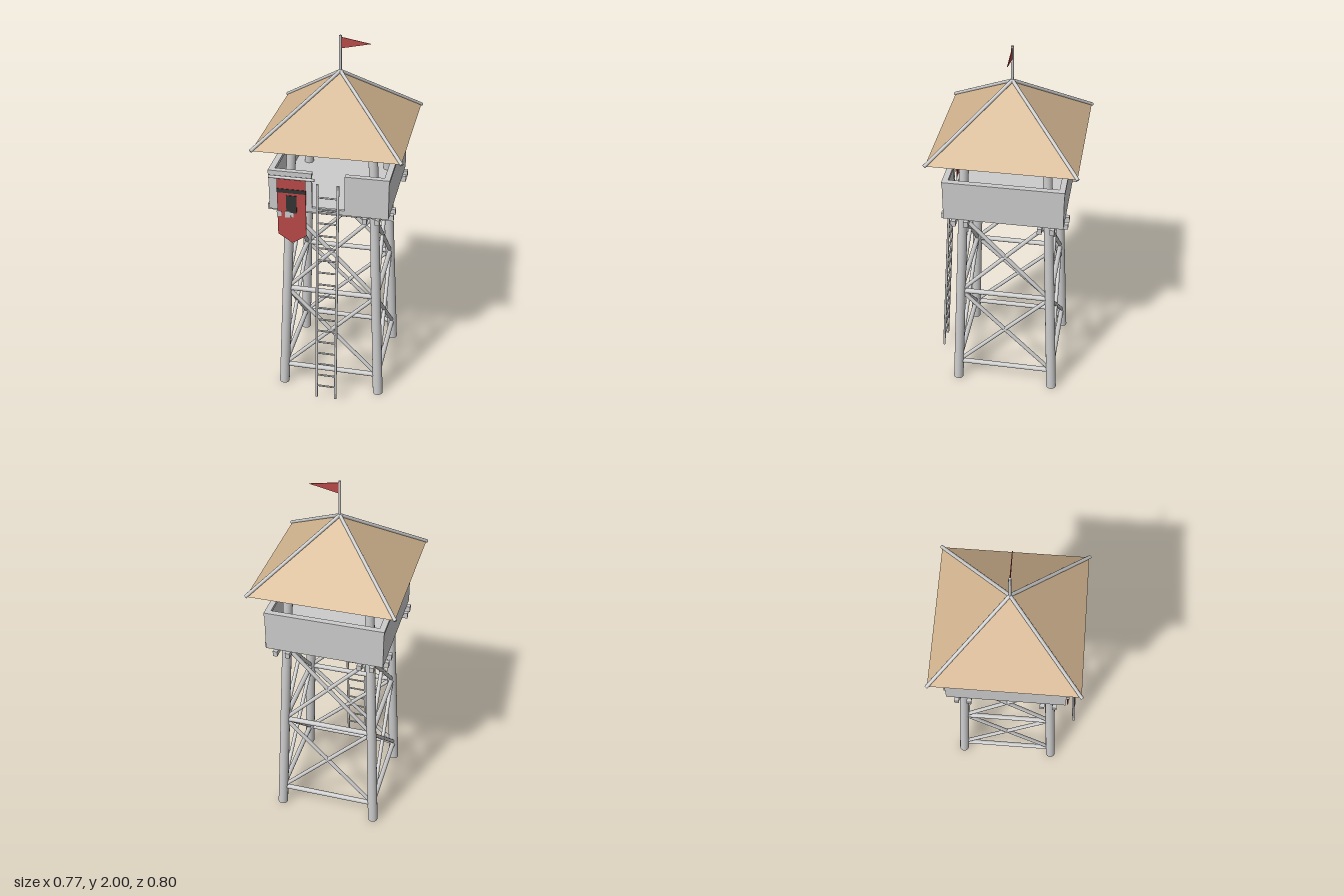
import * as THREE from 'three';

const mat = (color, side = THREE.FrontSide) => new THREE.MeshStandardMaterial({ color, side });
const grey = mat(0xcccccc);
const red = mat(0xb84a48, THREE.DoubleSide);
const tan = mat(0xd2b48f, THREE.DoubleSide);
tan.flatShading = true;
const dark = mat(0x333333);
const V = (x, y, z) => new THREE.Vector3(x, y, z);

export function createModel() {
  const model = new THREE.Group();
  const tower = new THREE.Group();
  tower.name = 'tower';
  tower.position.z = -0.015;
  model.add(tower);

  const add = (name, geometry, material, parent = tower) => {
    const mesh = new THREE.Mesh(geometry, material);
    mesh.name = name;
    parent.add(mesh);
    return mesh;
  };
  const box = (name, w, h, d, x, y, z, material = grey, parent = tower) => {
    const mesh = add(name, new THREE.BoxGeometry(w, h, d), material, parent);
    mesh.position.set(x, y, z);
    return mesh;
  };
  // Round pole between two points
  const pole = (name, a, b, r0, r1 = r0, parent = tower, sides = 12) => {
    const mesh = add(name, new THREE.CylinderGeometry(r1, r0, a.distanceTo(b), sides), grey, parent);
    mesh.position.copy(a).add(b).multiplyScalar(0.5);
    mesh.quaternion.setFromUnitVectors(V(0, 1, 0), b.clone().sub(a).normalize());
    return mesh;
  };

  // Leaning legs
  const spread = (y) => 0.272 - 0.042 * y;
  const legTop = 1.53;
  for (const sx of [-1, 1]) for (const sz of [-1, 1]) {
    const b = spread(0), t = spread(legTop);
    pole('leg', V(sx * b, 0, sz * b), V(sx * t, legTop, sz * t), 0.028, 0.024, tower, 16);
  }

  // Horizontal and crossed braces on each of the four sides
  const levels = [0.12, 0.63, 1.115];
  for (let i = 0; i < 4; i++) {
    const side = new THREE.Group();
    side.name = 'braceSide';
    side.rotation.y = i * Math.PI / 2;
    tower.add(side);
    const at = (s, y) => V(s * spread(y), y, spread(y));
    for (const y of levels) pole('horizontalBrace', at(-1, y), at(1, y), 0.014, 0.014, side);
    for (let k = 0; k < 2; k++) for (const s of [-1, 1]) {
      pole('crossBrace', at(s, levels[k]), at(-s, levels[k + 1]), 0.011, 0.011, side);
    }
  }

  // Platform beams on both sides of the legs, and the floor
  for (const s of [-1, 1]) for (const p of [0.19, 0.255]) {
    box('beamAcross', 0.66, 0.032, 0.024, 0, 1.14, s * p);
    box('beamLengthwise', 0.024, 0.03, 0.66, s * p, 1.14, 0);
  }
  box('floor', 0.61, 0.02, 0.61, 0, 1.165, 0);

  // Parapet with a ladder opening at the front
  const H = 0.31, wallT = 0.014, wallY = 1.257, wallH = 0.205;
  const railY = 1.367, gap = 0.085, part = H - gap;
  for (const s of [-1, 1]) {
    box('sideWall', wallT, wallH, 2 * H, s * (H - wallT / 2), wallY, 0);
    box('sideRail', 0.03, 0.018, 2 * H + 0.004, s * (H - 0.013), railY, 0);
    box('frontWall', part, wallH, wallT, s * (gap + part / 2), wallY, H - wallT / 2);
    box('frontRail', part, 0.018, 0.03, s * (gap + part / 2), railY, H - 0.013);
  }
  box('doorSill', 2 * gap, 0.026, wallT, 0, 1.168, H - wallT / 2);
  box('backWall', 2 * H, wallH, wallT, 0, wallY, -H + wallT / 2);
  box('backRail', 2 * H, 0.018, 0.03, 0, railY, -H + 0.013);

  // Pyramid roof with corner poles
  const R = 0.375, eave = 1.505, apex = 1.81;
  const roof = add('roof', new THREE.ConeGeometry(R * Math.SQRT2, apex - eave, 4, 1, true), tan);
  roof.rotation.y = Math.PI / 4;
  roof.position.y = (eave + apex) / 2;
  for (const sx of [-1, 1]) for (const sz of [-1, 1]) {
    pole('ridgePole', V(sx * 0.378, eave, sz * 0.378), V(0, apex + 0.004, 0), 0.009);
  }

  // Pennant
  pole('flagPole', V(0, 1.78, 0), V(0, 2, 0), 0.007);
  const pennant = new THREE.Shape([[0, 1.992], [0, 1.932], [0.155, 1.965]].map(([x, y]) => new THREE.Vector2(x, y)));
  add('pennant', new THREE.ExtrudeGeometry(pennant, { depth: 0.004, bevelEnabled: false }), red).position.z = -0.002;

  // Hanging banner
  const banner = new THREE.Group();
  banner.name = 'banner';
  banner.position.set(-0.188, 0, 0.308);
  model.add(banner);
  const cloth = new THREE.Shape([[-0.075, 1.35], [-0.075, 1.02], [0, 0.97], [0.075, 1.02], [0.075, 1.35]]
    .map(([x, y]) => new THREE.Vector2(x, y)));
  add('bannerCloth', new THREE.ExtrudeGeometry(cloth, { depth: 0.006, bevelEnabled: false }), red, banner);
  box('bannerStripe', 0.15, 0.022, 0.003, 0, 1.275, 0.007, dark, banner);
  box('bannerPatch', 0.055, 0.1, 0.003, 0, 1.2, 0.007, dark, banner);
  box('bannerTab', 0.03, 0.035, 0.003, -0.02, 1.14, 0.009, grey, banner);
  pole('bannerRod', V(-0.115, 1.353, 0.012), V(0.123, 1.353, 0.012), 0.008, 0.008, banner);

  // Leaning ladder
  const ladder = new THREE.Group();
  ladder.name = 'ladder';
  model.add(ladder);
  const onLadder = (x, y) => V(x, y, 0.39 - 0.085 * (y - 0.03) / 1.295);
  for (const s of [-1, 1]) pole('ladderRail', onLadder(s * 0.053, 0.025), onLadder(s * 0.053, 1.325), 0.007, 0.007, ladder, 8);
  for (let i = 0; i < 17; i++) {
    const y = 0.1 + i * 0.072;
    pole('rung', onLadder(-0.053, y), onLadder(0.053, y), 0.005, 0.005, ladder, 8);
  }
  return model;
}
